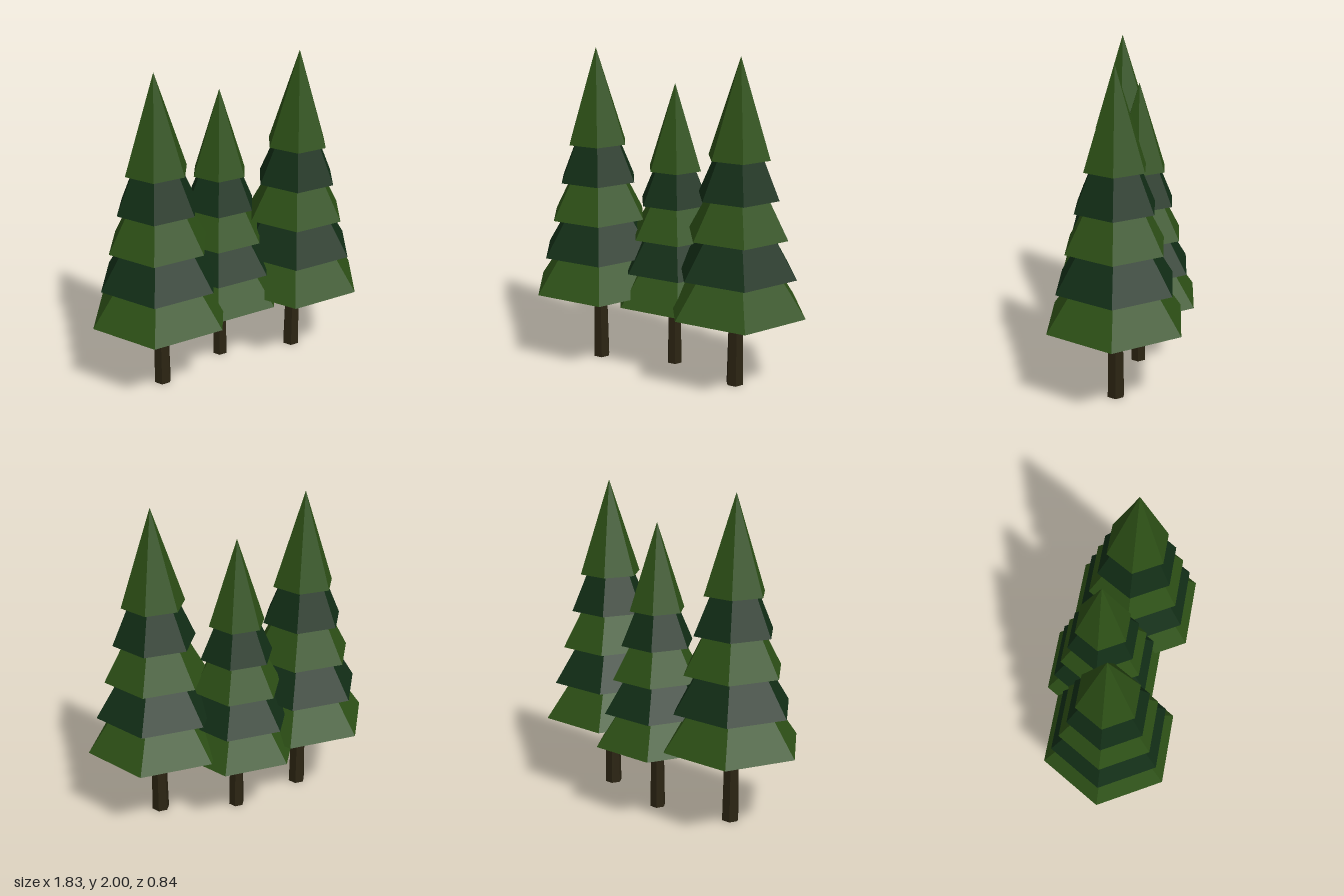
import * as THREE from 'three';

// Thick-set conifers: a six-sided trunk and five overlapping six-sided cones each
const TIERS = [
  // base height, radius, cone height
  [0.5, 0.44, 0.62],
  [0.73, 0.378, 0.6],
  [0.96, 0.317, 0.58],
  [1.19, 0.256, 0.58],
  [1.42, 0.195, 0.58],
];

export function createModel() {
  const material = (name, color) => {
    const m = new THREE.MeshStandardMaterial({ color, flatShading: true });
    m.name = name;
    return m;
  };
  const lightNeedles = material('light needles', 0x2d5016);
  const darkNeedles = material('dark needles', 0x122e16);
  const bark = material('bark', 0x2b2412);

  // Corners of each hexagon point along x
  const hexagon = (top, bottom, height, baseY) =>
    new THREE.CylinderGeometry(top, bottom, height, 6, 1, false, Math.PI / 6)
      .translate(0, baseY + height / 2, 0);

  function makeTree(name, x, z, scale) {
    const tree = new THREE.Group();
    tree.name = name;

    const trunk = new THREE.Mesh(hexagon(0.045, 0.055, 0.55, 0), bark);
    trunk.name = 'trunk';
    tree.add(trunk);

    // Foliage alternates light and dark from the bottom up
    TIERS.forEach(([y, radius, height], i) => {
      const tier = new THREE.Mesh(hexagon(0, radius, height, y), i % 2 ? darkNeedles : lightNeedles);
      tier.name = `foliageTier${i + 1}`;
      tree.add(tier);
    });

    tree.position.set(x, 0, z);
    tree.scale.setScalar(scale);
    return tree;
  }

  const model = new THREE.Group();
  model.name = 'pineTrees';
  model.add(
    makeTree('leftTree', 0.475, 0.04, 1),
    makeTree('rightTree', -0.475, 0.04, 1),
    makeTree('middleTree', 0, -0.08, 0.9),
  );
  return model;
}
